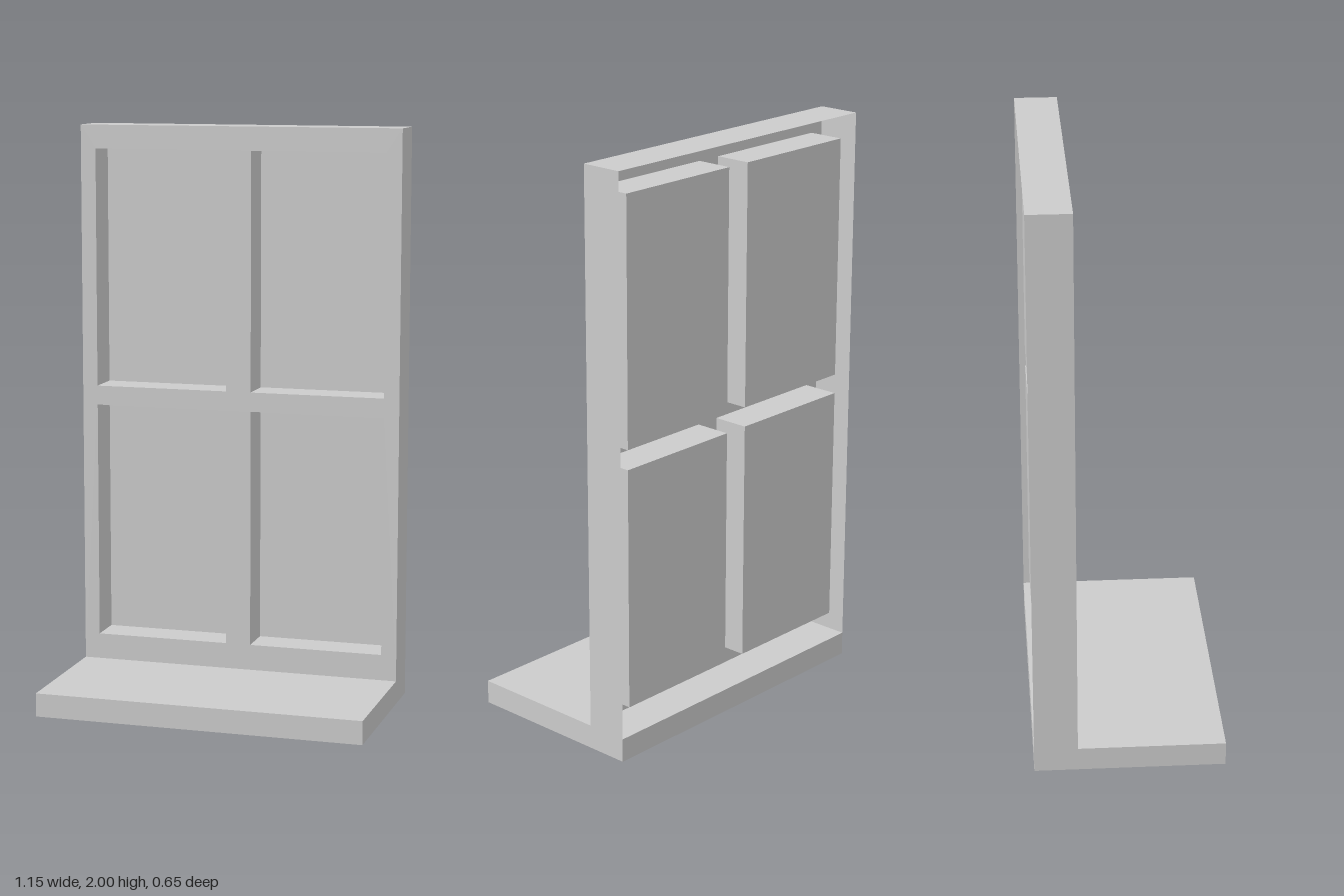
import * as THREE from 'three';

const W = 1.15, H = 2, BASE_H = 0.082;
const BACK = -0.325, FRONT = -0.177, DEPTH = 0.65, RECESS = 0.128;
const material = new THREE.MeshStandardMaterial({ color: 0xcccccc, side: THREE.DoubleSide, flatShading: true });

function add(parent, name, geometry, x = 0, y = 0, z = 0) {
  const mesh = new THREE.Mesh(geometry, material);
  mesh.name = name;
  mesh.position.set(x, y, z);
  parent.add(mesh);
  return mesh;
}

// Thin sheets standing across x or lying across y
const sideSheet = (d, h, s) => new THREE.PlaneGeometry(d, h).rotateY(s * Math.PI / 2);
const flatSheet = (w, d, s) => new THREE.PlaneGeometry(w, d).rotateX(-s * Math.PI / 2);

export function createModel() {
  const model = new THREE.Group();
  model.name = 'panelledDoor';

  // Floor slab, running under the whole depth
  add(model, 'base', new THREE.BoxGeometry(W, BASE_H, DEPTH), 0, BASE_H / 2, 0);

  // Front sheet with four openings
  const face = new THREE.Shape([[-W / 2, BASE_H], [W / 2, BASE_H], [W / 2, H], [-W / 2, H]]
    .map(([x, y]) => new THREE.Vector2(x, y)));
  const pw = 0.476, ph = 0.838;
  const centres = [];
  for (const x of [-0.283, 0.283]) for (const y of [0.592, 1.498]) centres.push([x, y]);
  for (const [x, y] of centres) {
    face.holes.push(new THREE.Path([[-1, -1], [-1, 1], [1, 1], [1, -1]]
      .map(([i, j]) => new THREE.Vector2(x + i * pw / 2, y + j * ph / 2))));
  }
  add(model, 'doorFace', new THREE.ShapeGeometry(face), 0, 0, FRONT);

  // Thin sides and top, leaving the back open
  const d = FRONT - BACK, zMid = (FRONT + BACK) / 2, h = H - BASE_H;
  for (const s of [-1, 1]) {
    add(model, s > 0 ? 'leftSide' : 'rightSide', sideSheet(d, h, s), s * W / 2, BASE_H + h / 2, zMid);
  }
  add(model, 'topSide', flatSheet(W, d, 1), 0, H, zMid);

  // Recessed panels: four walls and a back sheet each
  for (const [x, y] of centres) {
    const panel = new THREE.Group();
    panel.name = 'recessedPanel';
    panel.position.set(x, y, FRONT);
    for (const s of [-1, 1]) {
      add(panel, 'panelSideWall', sideSheet(RECESS, ph, -s), s * pw / 2, 0, -RECESS / 2);
      add(panel, 'panelEndWall', flatSheet(pw, RECESS, -s), 0, s * ph / 2, -RECESS / 2);
    }
    add(panel, 'panelBack', new THREE.PlaneGeometry(pw, ph), 0, 0, -RECESS);
    model.add(panel);
  }
  return model;
}
